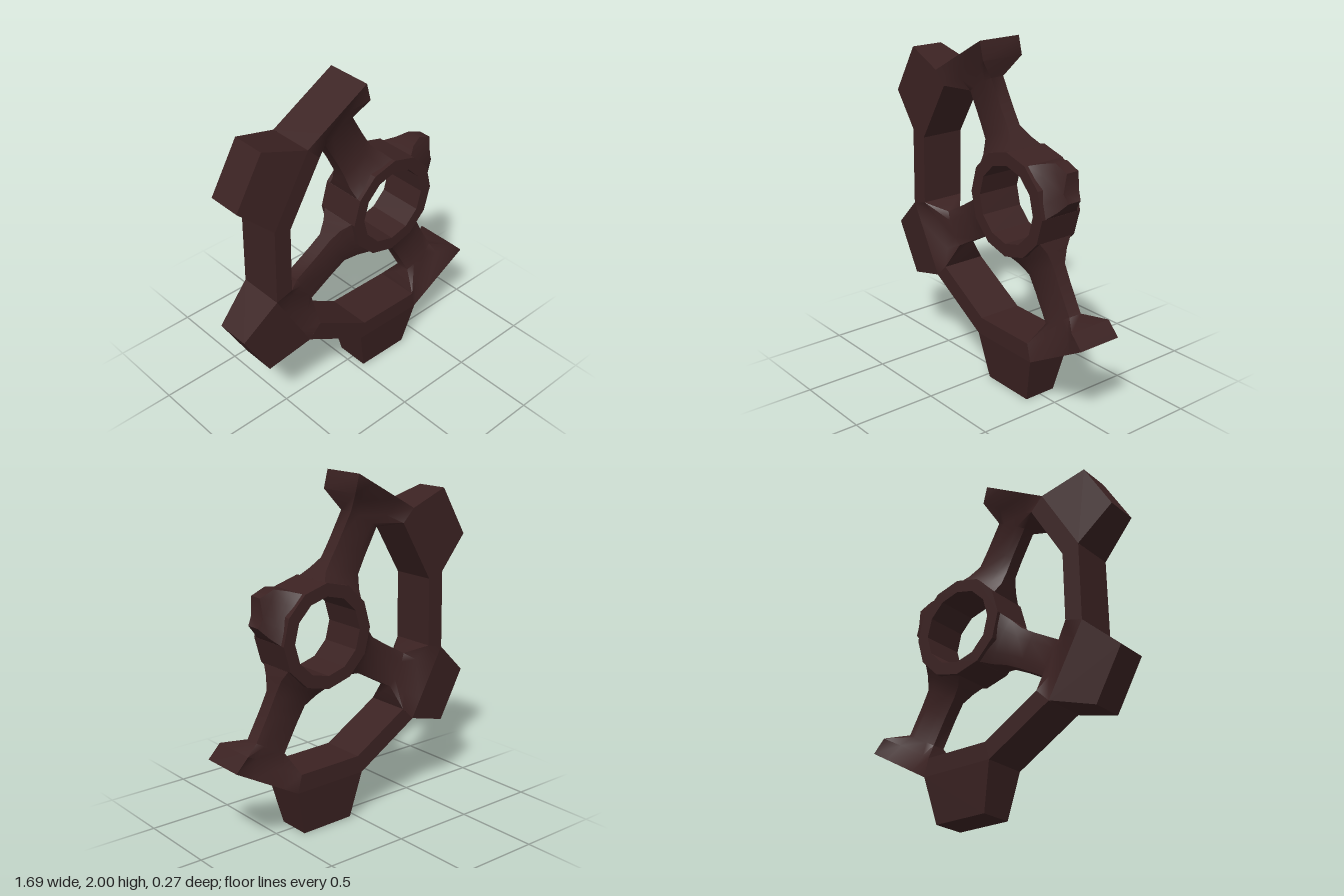
import * as THREE from 'three';
import { toCreasedNormals } from 'three/addons/utils/BufferGeometryUtils.js';

const DEPTH = 0.135;               // half thickness of the gear
const HUB = [0.225, 1.138, 0];     // gear axis
const APO = Math.cos(Math.PI / 12);
const rad = (d) => d * Math.PI / 180;
const polar = (r, d) => new THREE.Vector2(r * Math.cos(rad(d)), r * Math.sin(rad(d)));

function slab(shape) {
  return new THREE.ExtrudeGeometry(shape, { depth: DEPTH * 2, bevelEnabled: false })
    .translate(0, 0, -DEPTH);
}

// Eight-sided loft along +x; each section is [x, half width, half depth, half depth at the sides]
function spokeGeometry(sections, snapped) {
  const pos = [], idx = [];
  sections.forEach(([x, w, h, f], i) => {
    const loop = [[w, -f], [w, f], [w / 2, h], [-w / 2, h], [-w, f], [-w, -f], [-w / 2, -h], [w / 2, -h]];
    loop.forEach(([y, z]) => pos.push(x, y, z));
    if (i === 0) return;
    for (let j = 0; j < 8; j++) {
      const a = (i - 1) * 8 + j, b = (i - 1) * 8 + (j + 1) % 8;
      idx.push(a, b, b + 8, a, b + 8, a + 8);
    }
  });
  const s = (sections.length - 1) * 8, c = pos.length / 3;
  if (snapped) {
    // jagged fracture: a raised tip on one side and a notch below it
    pos.push(0.455, 0.038, -0.04, 0.455, 0.038, 0.04, 0.39, -0.064, 0.04, 0.39, -0.064, -0.04);
    idx.push(c, c + 1, c + 2, c, c + 2, c + 3);
    idx.push(s, s + 1, c + 1, s, c + 1, c);
    idx.push(s + 1, s + 2, c + 1, s + 2, s + 3, c + 1, s + 3, c + 2, c + 1);
    idx.push(s + 3, s + 4, c + 2, s + 4, s + 5, c + 2, s + 5, c + 3, c + 2);
    idx.push(s + 5, s + 6, c + 3, s + 6, c, c + 3, s + 6, s + 7, c, s + 7, s, c);
  } else {
    // flat outer face of the rim segment
    for (let j = 1; j < 5; j++) idx.push(s, s + j, s + j + 1);
  }
  const g = new THREE.BufferGeometry();
  g.setAttribute('position', new THREE.Float32BufferAttribute(pos, 3));
  g.setIndex(idx);
  return toCreasedNormals(g, snapped ? 0.75 : 1.15);
}

// Block narrowing outward along +x in width and depth
function toothGeometry() {
  const g = new THREE.BoxGeometry(1, 1, 1);
  const p = g.attributes.position;
  for (let i = 0; i < p.count; i++) {
    const tip = p.getX(i) > 0;
    p.setXYZ(i, tip ? 1.135 : 0.86,
      Math.sign(p.getY(i)) * (tip ? 0.167 : 0.23),
      Math.sign(p.getZ(i)) * (tip ? 0.1 : DEPTH));
  }
  const flat = g.toNonIndexed();
  flat.computeVertexNormals();
  return flat;
}

export function createModel() {
  const iron = new THREE.MeshStandardMaterial({ color: 0x3b2222 });
  iron.name = 'dark rusty iron';
  const model = new THREE.Group();
  model.name = 'brokenGear';
  const gear = new THREE.Group();
  gear.name = 'gear';
  gear.position.set(...HUB);
  gear.rotation.z = rad(-0.9);
  model.add(gear);

  const add = (name, geo, angle = 0) => {
    const m = new THREE.Mesh(geo, iron);
    m.name = name;
    m.rotation.z = rad(angle);
    gear.add(m);
  };

  // Hub ring with a twelve-sided bore
  const outer = [], inner = [];
  for (let i = 0; i < 12; i++) {
    outer.push(polar(0.3, i * 30));
    inner.push(polar(0.225, i * 30));
  }
  const ring = new THREE.Shape(outer);
  ring.holes.push(new THREE.Path(inner));
  add('hubRing', slab(ring));

  // Plain rim stretches between the spoke joints
  for (const start of [135, 225]) {
    const rim = [];
    for (let a = start; a <= start + 60; a += 30) rim.push(polar(0.86 / APO, a));
    for (let a = start + 60; a >= start; a -= 30) rim.push(polar(0.755 / APO, a));
    add('rimStretch', slab(new THREE.Shape(rim)));
  }

  // Teeth on alternate rim faces
  const tooth = toothGeometry();
  for (const a of [150, 210, 270]) add('tooth', tooth, a);

  // Thin spokes flaring into the hub and into their own rim segment
  const root = [[0.255, 0.15, 0.13, 0.115], [0.32, 0.135, 0.085, 0.07], [0.395, 0.112, 0.055, 0.042]];
  const spoke = spokeGeometry([...root, [0.5, 0.107, 0.05, 0.042], [0.68, 0.107, 0.053, 0.042],
    [0.755, 0.2023, 0.085, DEPTH], [0.86, 0.2304, DEPTH, DEPTH]], false);
  for (const a of [120, 210, 300]) add('spokeWithRimSegment', spoke, a);

  // Snapped spoke stub
  add('brokenSpoke', spokeGeometry(root, true), 30);
  return model;
}
